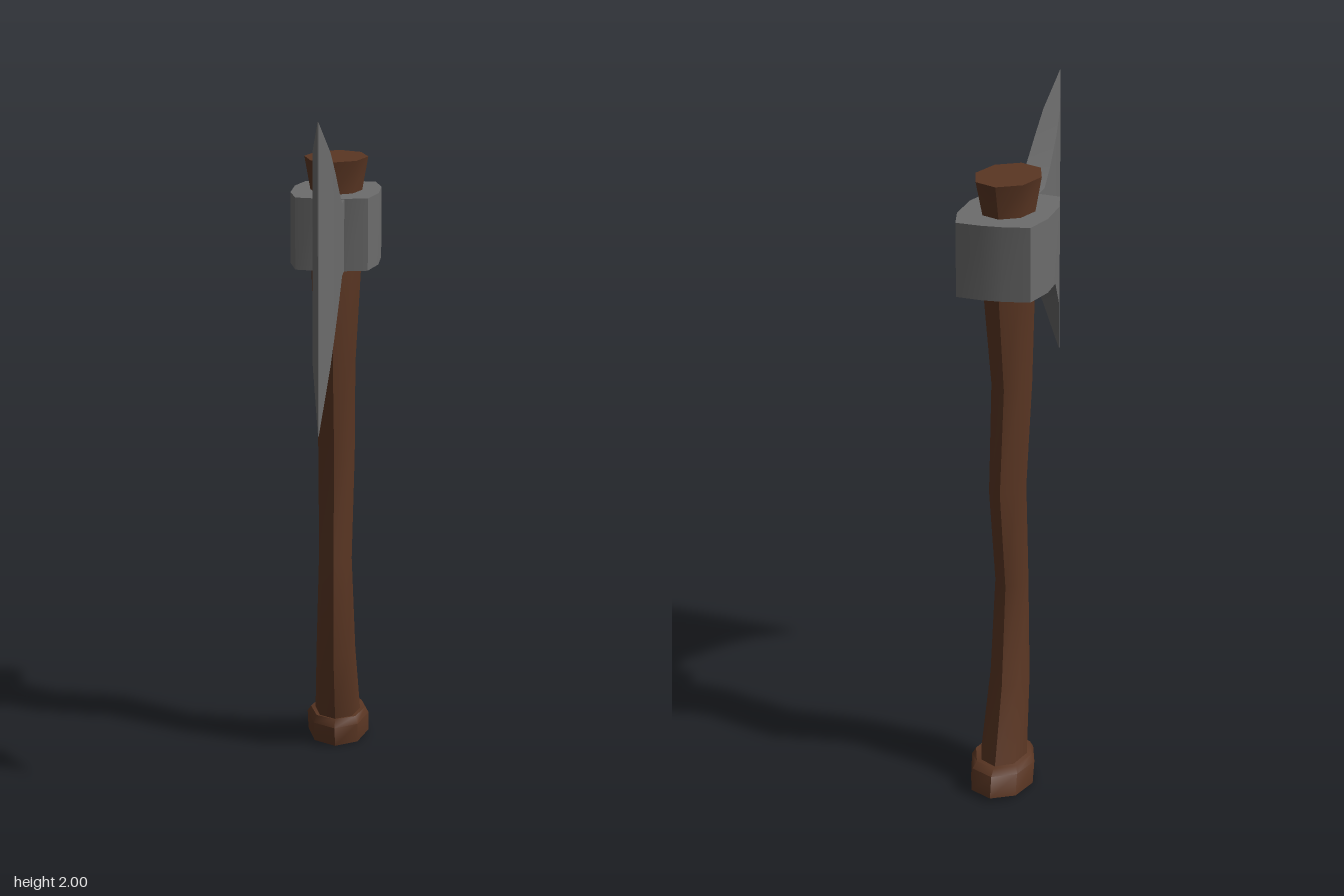
import * as THREE from 'three';
import { toCreasedNormals } from 'three/addons/utils/BufferGeometryUtils.js';

// Skin a list of equal-sized rings (counterclockwise about the travel axis) and cap both ends.
function loft(rings) {
  const n = rings[0].length, last = (rings.length - 1) * n;
  const index = [];
  for (let r = 0; r < rings.length - 1; r++) {
    for (let i = 0; i < n; i++) {
      const a = r * n + i, b = r * n + (i + 1) % n;
      index.push(a, b, b + n, a, b + n, a + n);
    }
  }
  for (let i = 1; i < n - 1; i++) {
    index.push(0, i + 1, i, last, last + i, last + i + 1);
  }
  const geo = new THREE.BufferGeometry();
  geo.setAttribute('position', new THREE.Float32BufferAttribute(rings.flat(2), 3));
  geo.setIndex(index);
  return toCreasedNormals(geo, 0.9);
}

// Eight-sided ring around the handle; the back may sit higher than the front by `lift`.
function handleRing([y, zFront, zBack, halfWidth, lift = 0]) {
  const mid = (zFront + zBack) / 2, depth = (zFront - zBack) / 2;
  return Array.from({ length: 8 }, (_, i) => {
    const t = i * Math.PI / 4;
    return [
      Math.sin(t) * halfWidth,
      y + lift * (1 - Math.cos(t)) / 2,
      mid + Math.cos(t) * depth,
    ];
  });
}

export function createModel() {
  const wood = new THREE.MeshStandardMaterial({ color: 0x5a3623 });
  wood.name = 'brown wood';
  const steel = new THREE.MeshStandardMaterial({ color: 0x6c6c6c });
  steel.name = 'grey steel';

  const axe = new THREE.Group();
  axe.name = 'axe';
  const add = (name, geo, material) => {
    const mesh = new THREE.Mesh(geo, material);
    mesh.name = name;
    axe.add(mesh);
  };

  // Wavy handle, flaring where it comes out above the head: y, front z, back z, half width
  add('handle', loft([
    [0.05, -0.16, -0.37, 0.072],
    [0.09, -0.148, -0.355, 0.07],
    [0.31, -0.085, -0.275, 0.06],
    [0.61, -0.08, -0.23, 0.05],
    [0.92, -0.113, -0.288, 0.055],
    [1.22, -0.065, -0.24, 0.06],
    [1.52, -0.065, -0.295, 0.075],
    [1.73, -0.075, -0.29, 0.076],
    [1.83, -0.042, -0.322, 0.094],
  ].map(handleRing)), wood);

  // Knob at the foot of the handle
  add('handleKnob', loft([
    [0.0, -0.145, -0.413, 0.095, 0.012],
    [0.065, -0.127, -0.398, 0.096, 0.01],
    [0.088, -0.145, -0.37, 0.085, 0.0],
  ].map(handleRing)), wood);

  // Collar of the head: half outline from front to back, mirrored across x
  const side = [
    [0.04, 0.0], [0.105, -0.015], [0.129, -0.12],
    [0.129, -0.25], [0.105, -0.35], [0.03, -0.362],
  ];
  const outline = [...side, ...side.map(([x, z]) => [-x, z]).reverse()];
  add('headCollar', loft([1.522, 1.732].map(
    (y) => outline.map(([x, z]) => [x, y, z]))), steel);

  // Flared blade: z, bottom y, top y, half thickness
  add('blade', loft([
    [-0.03, 1.524, 1.73, 0.038],
    [0.075, 1.522, 1.73, 0.038],
    [0.15, 1.465, 1.775, 0.036],
    [0.235, 1.395, 1.84, 0.032],
    [0.31, 1.312, 1.905, 0.025],
    [0.415, 1.135, 2.0, 0.001],
  ].map(([z, y0, y1, w]) => [[w, y0, z], [w, y1, z], [-w, y1, z], [-w, y0, z]])), steel);

  return axe;
}
